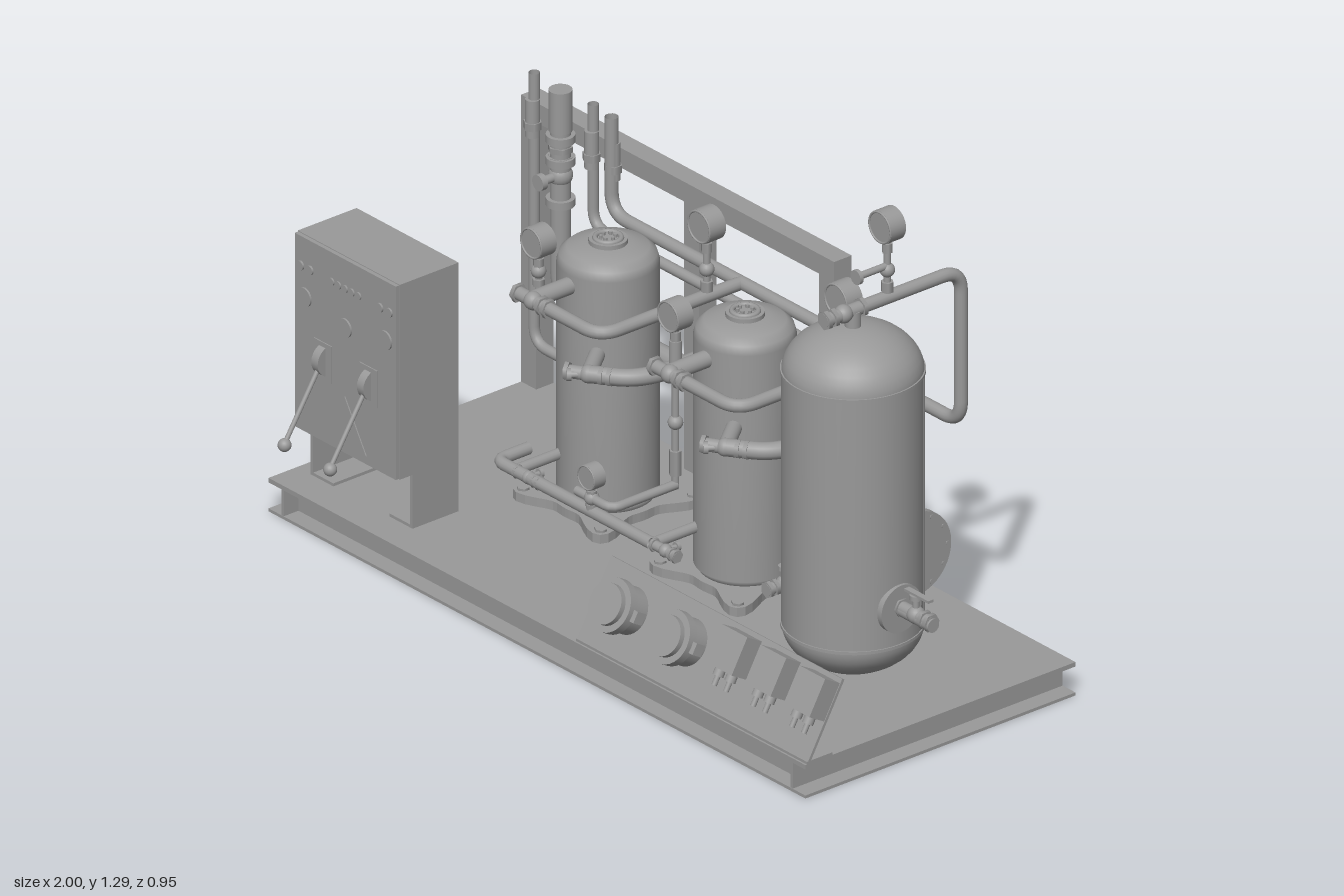
import * as THREE from 'three';

const mat = new THREE.MeshStandardMaterial({ color: 0x999999 });
const openMat = new THREE.MeshStandardMaterial({ color: 0x999999, side: THREE.DoubleSide });
const V = (a) => new THREE.Vector3(...a);

function add(parent, name, geo, pos = [0, 0, 0], m = mat) {
  const mesh = new THREE.Mesh(geo, m);
  mesh.name = name;
  mesh.position.set(...pos);
  parent.add(mesh);
  return mesh;
}
function group(parent, name, pos = [0, 0, 0]) {
  const g = new THREE.Group();
  g.name = name;
  g.position.set(...pos);
  parent.add(g);
  return g;
}
// Box given by its minimum and maximum corners
function block(parent, name, a, b) {
  return add(parent, name, new THREE.BoxGeometry(b[0] - a[0], b[1] - a[1], b[2] - a[2]),
    a.map((v, i) => (v + b[i]) / 2));
}
// Solid round bar between two points
function rod(parent, name, a, b, r, sides = 24) {
  const A = V(a), B = V(b), d = B.clone().sub(A);
  const mesh = add(parent, name, new THREE.CylinderGeometry(r, r, d.length(), sides),
    A.clone().add(B).multiplyScalar(0.5).toArray());
  mesh.quaternion.setFromUnitVectors(new THREE.Vector3(0, 1, 0), d.normalize());
  return mesh;
}
// Pipe through corner points, with rounded bends
function pipe(parent, name, pts, r, bend = 0.05) {
  const p = pts.map(V), path = new THREE.CurvePath();
  let last = p[0];
  for (let i = 1; i < p.length - 1; i++) {
    const toward = (q) => p[i].clone().add(q.clone().sub(p[i])
      .setLength(Math.min(bend, q.distanceTo(p[i]) * 0.49)));
    const s = toward(p[i - 1]), e = toward(p[i + 1]);
    path.add(new THREE.LineCurve3(last, s));
    path.add(new THREE.QuadraticBezierCurve3(s, p[i], e));
    last = e;
  }
  path.add(new THREE.LineCurve3(last, p[p.length - 1]));
  const n = Math.ceil(path.getLength() / 0.012);
  return add(parent, name, new THREE.TubeGeometry(path, n, r, 14), [0, 0, 0], openMat);
}
// Valve centred at p along d, with end collars and a stem with a hand knob
function valve(parent, name, p, d, s, stem) {
  const g = group(parent, name, p), dir = V(d).normalize(), st = V(stem).normalize();
  const at = (v, k) => v.clone().multiplyScalar(k * s).toArray();
  rod(g, 'valveBody', at(dir, -1), at(dir, 1), 0.28 * s);
  add(g, 'valveCore', new THREE.SphereGeometry(0.38 * s, 20, 14));
  for (const k of [-0.9, 0.55, 0.9])
    rod(g, 'valveCollar', at(dir, k - 0.09), at(dir, k + 0.09), 0.4 * s, 6);
  rod(g, 'valveStem', [0, 0, 0], at(st, 0.9), 0.14 * s);
  rod(g, 'valveKnob', at(st, 0.7), at(st, 0.9), 0.26 * s);
}
// Pressure dial facing +z on a vertical stem
function gauge(parent, name, x, y, z, r, depth, bottom) {
  const g = group(parent, name, [x, y, z]);
  rod(g, 'dialCase', [0, 0, -depth / 2], [0, 0, depth / 2], r, 32);
  add(g, 'dialRim', new THREE.TorusGeometry(r * 0.92, r * 0.07, 8, 32), [0, 0, depth / 2]);
  const low = bottom - y;
  rod(g, 'dialStem', [0, low, 0], [0, -r * 0.9, 0], 0.009);
  rod(g, 'dialNut', [0, -r - 0.03, 0], [0, -r - 0.005, 0], 0.014, 6);
  add(g, 'stemValve', new THREE.SphereGeometry(0.019, 16, 12), [0, low * 0.62, 0]);
  rod(g, 'stemNut', [0, low * 0.92, 0], [0, low * 0.78, 0], 0.016, 6);
}
function lathe(parent, name, pts) {
  return add(parent, name, new THREE.LatheGeometry(pts.map((q) => new THREE.Vector2(...q)), 48));
}

function buildBase(root) {
  // Channels open outward: web on the inner edge, flanges above and below
  const g = group(root, 'baseFrame');
  block(g, 'deckPlate', [-1, 0.078, -0.475], [1, 0.09, 0.375]);
  for (const s of [-1, 1]) {
    const z = -0.05 + s * 0.374, fz = -0.05 + s * 0.3975, fx = s * 0.9725;
    block(g, 'longWeb', [-0.95, 0, z - 0.004], [0.945, 0.08, z + 0.004]);
    block(g, 'longFlange', [-1, 0, fz - 0.0275], [1, 0.008, fz + 0.0275]);
    block(g, 'endWeb', [s * 0.948 - 0.004, 0, -0.474], [s * 0.948 + 0.004, 0.08, 0.374]);
    block(g, 'endFlange', [fx - 0.0275, 0, -0.475], [fx + 0.0275, 0.008, 0.375]);
  }
  const f = group(root, 'rearFrame');
  for (const x of [-0.972, -0.365, 0.138])
    block(f, 'post', [x - 0.028, 0.09, -0.475], [x + 0.028, 0.81, -0.42]);
  block(f, 'topBeam', [-1, 0.81, -0.475], [0.166, 0.863, -0.42]);
}

function buildCompressor(root, x) {
  const g = group(root, 'compressor', [x, 0, -0.17]);
  // Four-eared foot plate
  const pts = [];
  for (let i = 0; i < 72; i++) {
    const a = (i / 72) * Math.PI * 2;
    const r = 0.135 + 0.095 * ((1 - Math.cos(4 * a)) / 2) ** 3;
    pts.push(new THREE.Vector2(r * Math.cos(a), r * Math.sin(a)));
  }
  add(g, 'footPlate', new THREE.ExtrudeGeometry(new THREE.Shape(pts), { depth: 0.024, bevelEnabled: false }),
    [0, 0.09, 0]).rotation.x = -Math.PI / 2;
  for (const sx of [-1, 1]) for (const sz of [-1, 1])
    rod(g, 'footBolt', [sx * 0.145, 0.09, sz * 0.145], [sx * 0.145, 0.12, sz * 0.145], 0.016, 6);
  lathe(g, 'shell', [[0, 0.11], [0.11, 0.11], [0.125, 0.13], [0.125, 0.74], [0.119, 0.762],
    [0.1, 0.778], [0.06, 0.788], [0, 0.792]]);
  rod(g, 'topCap', [0, 0.78, 0], [0, 0.8, 0], 0.048);
  add(g, 'topRing', new THREE.TorusGeometry(0.032, 0.007, 8, 28), [0, 0.8, 0]).rotation.x = Math.PI / 2;
  for (let i = 0; i < 6; i++) {
    const a = i * Math.PI / 3, bx = 0.018 * Math.cos(a), bz = 0.018 * Math.sin(a);
    rod(g, 'capBolt', [bx, 0.8, bz], [bx, 0.808, bz], 0.005, 6);
  }
  // Discharge line to the upper header
  rod(g, 'dischargePort', [0, 0.71, 0.1], [0, 0.71, 0.24], 0.022);
  valve(g, 'dischargeValve', [0.005, 0.71, 0.24], [1, 0, 0], 0.062, [0, 0, -1]);
  pipe(g, 'dischargePipe', [[0, 0.71, 0.24], [0.255, 0.71, 0.24], [0.255, 0.71, -0.205]], 0.017, 0.06);
  gauge(g, 'dischargeGauge', 0.257, 0.905, -0.093, 0.044, 0.048, 0.71);
  // Suction line to the lower header
  rod(g, 'suctionPort', [0.06, 0.545, 0.08], [0.14, 0.545, 0.18], 0.02);
  valve(g, 'suctionValve', [0.14, 0.545, 0.18], [0.8, 0, -0.5], 0.06, [-0.6, 0, 0.8]);
  pipe(g, 'suctionPipe', [[0.14, 0.545, 0.18], [0.25, 0.545, 0.1], [0.25, 0.545, -0.16], [0.25, 0.4, -0.205]],
    0.022, 0.1);
  // Oil drain
  pipe(g, 'oilPipe', [[-0.05, 0.235, 0.1], [-0.05, 0.235, 0.25]], 0.014);
  valve(g, 'oilValve', [0, 0.235, 0.25], [1, 0, 0], 0.045, [0, 0, -1]);
}

function buildReceiver(root) {
  const g = group(root, 'receiverTank', [0.68, 0, -0.045]);
  const prof = [];
  for (let i = 0; i <= 10; i++) {
    const a = (i / 10) * Math.PI / 2;
    prof.push([0.173 * Math.sin(a), 0.22 - 0.118 * Math.cos(a)]);
  }
  for (let i = 10; i >= 0; i--) {
    const a = (i / 10) * Math.PI / 2;
    prof.push([0.173 * Math.sin(a), 0.895 + 0.12 * Math.cos(a)]);
  }
  lathe(g, 'vessel', prof);
  for (const y of [0.218, 0.897]) rod(g, 'weldBand', [0, y - 0.004, 0], [0, y + 0.004, 0], 0.176, 48);
  rod(g, 'verticalSeam', [0.134, 0.22, -0.109], [0.134, 0.895, -0.109], 0.003, 6);
  rod(g, 'supportFoot', [0, 0.085, 0], [0, 0.12, 0], 0.03);
  // Side outlet
  rod(g, 'outletPad', [0.165, 0.32, 0], [0.181, 0.32, 0], 0.063, 32);
  rod(g, 'outletNozzle', [0.17, 0.32, 0], [0.3, 0.32, 0], 0.018);
  valve(g, 'outletValve', [0.235, 0.325, 0], [1, 0, 0], 0.06, [0, 1, 0]);
  block(g, 'outletHandle', [0.2, 0.378, -0.008], [0.29, 0.385, 0.008]);
  // Top connection
  rod(g, 'topNozzle', [0, 1.0, 0], [0, 1.055, 0], 0.02);
  valve(g, 'topValve', [0, 1.055, 0.03], [0, 0, 1], 0.062, [0, 0, 1]);
  pipe(g, 'topPipe', [[0, 1.055, 0], [0, 1.055, -0.34], [0, 0.64, -0.34], [-0.2, 0.64, -0.34]], 0.017, 0.06);
  gauge(g, 'topGauge', 0, 1.25, -0.108, 0.043, 0.046, 1.055);
  rod(g, 'bleedValve', [0, 1.14, -0.11], [0, 1.14, -0.02], 0.009);
  rod(g, 'bleedKnob', [0, 1.14, -0.018], [0, 1.14, -0.008], 0.019);
}

function buildPiping(root) {
  const g = group(root, 'piping'), z = -0.375;
  pipe(g, 'suctionHeader', [[0.45, 0.4, z], [-0.8, 0.4, z], [-0.8, 0.97, z]], 0.026, 0.09);
  rod(g, 'headerCap', [0.445, 0.4, z], [0.457, 0.4, z], 0.026);
  for (const y of [0.66, 0.77, 0.83]) rod(g, 'riserCollar', [-0.8, y, z], [-0.8, y + 0.02, z], 0.036);
  valve(g, 'riserValve', [-0.8, 0.74, z], [0, 1, 0], 0.08, [0, 0, 1]);
  rod(g, 'riserSleeve', [-0.8, 0.86, z], [-0.8, 0.97, z], 0.029);
  pipe(g, 'liquidHeader', [[0.5, 0.64, -0.385], [-0.69, 0.64, -0.385], [-0.69, 0.97, -0.385]], 0.014);
  pipe(g, 'dischargeHeader', [[0.385, 0.71, -0.3], [0.385, 0.71, z], [-0.61, 0.71, z], [-0.61, 0.97, z]], 0.017, 0.06);
  pipe(g, 'returnPipe', [[-0.91, 0.97, -0.385], [-0.91, 0.24, -0.385], [-0.52, 0.24, -0.385], [-0.52, 0.235, -0.2]], 0.014);
  for (const x of [-0.91, -0.69, -0.61]) {
    rod(g, 'pipeSleeve', [x, 0.8, -0.38], [x, 0.9, -0.38], 0.018);
    rod(g, 'pipeNut', [x, 0.82, -0.38], [x, 0.84, -0.38], 0.023, 6);
  }
  // Low oil line along the front of the compressors
  pipe(g, 'oilLine', [[-0.5, 0.235, -0.02], [-0.5, 0.235, 0.08], [0.08, 0.235, 0.08]], 0.016, 0.03);
  pipe(g, 'oilReturn', [[-0.2, 0.27, 0.08], [-0.07, 0.27, 0.08], [-0.07, 0.27, -0.12]], 0.012, 0.03);
  gauge(g, 'oilLineGauge', -0.145, 0.33, 0.08, 0.033, 0.035, 0.235);
  gauge(g, 'sideGauge', -0.58, 0.73, -0.12, 0.041, 0.046, 0.6);
  gauge(g, 'oilGauge', -0.07, 0.73, -0.12, 0.041, 0.046, 0.26);
  rod(g, 'oilGaugeFitting', [-0.07, 0.575, -0.12], [-0.07, 0.66, -0.12], 0.016);
  // Outlet valve of the horizontal vessel
  pipe(g, 'vesselOutlet', [[0.44, 0.23, -0.27], [0.44, 0.23, 0.02]], 0.014);
  valve(g, 'vesselValve', [0.44, 0.23, -0.03], [0, 0, 1], 0.055, [0, 1, 0]);
  // Horizontal vessel behind the tank
  const h = group(root, 'horizontalVessel', [0, 0.27, -0.32]);
  rod(h, 'vesselShell', [0.27, 0, 0], [0.57, 0, 0], 0.086, 40);
  const dome = add(h, 'vesselDome', new THREE.SphereGeometry(0.086, 32, 12), [0.27, 0, 0]);
  dome.scale.x = 0.35;
  rod(h, 'vesselFlange', [0.565, 0, 0], [0.588, 0, 0], 0.112, 40);
  for (let i = 0; i < 12; i++) {
    const a = i * Math.PI / 6, y = 0.1 * Math.cos(a), w = 0.1 * Math.sin(a);
    rod(h, 'flangeBolt', [0.558, y, w], [0.59, y, w], 0.006, 6);
  }
}

function buildCabinet(root) {
  const g = group(root, 'controlCabinet');
  block(g, 'cabinetBox', [-0.95, 0.235, 0.14], [-0.57, 0.76, 0.325]);
  block(g, 'cabinetDoor', [-0.948, 0.237, 0.325], [-0.572, 0.758, 0.336]);
  for (const s of [-1, 1]) {
    const x = -0.76 + s * 0.185, inner = x - s * 0.08;
    block(g, 'legPlate', [x - 0.005, 0.09, 0.14], [x + 0.005, 0.235, 0.285]);
    block(g, 'legFoot', [Math.min(x, inner), 0.09, 0.14], [Math.max(x, inner), 0.098, 0.285]);
    const lx = -0.757 + s * 0.085;
    block(g, 'leverPlate', [lx - 0.033, 0.405, 0.335], [lx + 0.033, 0.505, 0.339]);
    rod(g, 'leverHub', [lx - 0.012, 0.455, 0.322], [lx + 0.012, 0.455, 0.322], 0.042);
    rod(g, 'leverArm', [lx, 0.44, 0.35], [lx, 0.27, 0.458], 0.006);
    add(g, 'leverBall', new THREE.SphereGeometry(0.017, 20, 14), [lx, 0.267, 0.458]);
    rod(g, 'lamp', [-0.76 + s * 0.15, 0.6, 0.33], [-0.76 + s * 0.15, 0.6, 0.341], 0.025);
    for (const k of [0.13, 0.165])
      rod(g, 'button', [-0.76 + s * k, 0.68, 0.33], [-0.76 + s * k, 0.68, 0.341], 0.012);
  }
  rod(g, 'mainSwitch', [-0.76, 0.575, 0.33], [-0.76, 0.575, 0.341], 0.025);
  for (let i = 0; i < 5; i++)
    rod(g, 'indicator', [-0.81 + i * 0.025, 0.68, 0.33], [-0.81 + i * 0.025, 0.68, 0.34], 0.01);
  const tri = new THREE.Shape([[-0.08, 0], [0.08, 0], [0, 0.13]].map((q) => new THREE.Vector2(...q)));
  add(g, 'warningPlate', new THREE.ExtrudeGeometry(tri, { depth: 0.003, bevelEnabled: false }), [-0.76, 0.26, 0.336]);
}

function buildConsole(root) {
  block(root, 'consoleFoot', [0.14, 0.09, 0.29], [1, 0.097, 0.37]);
  const g = group(root, 'instrumentConsole', [0, 0.095, 0.365]);
  g.rotation.x = -0.52; // leaning back; local y runs up the sloped plate
  block(g, 'slopedPlate', [0.14, 0, -0.006], [1, 0.217, 0.002]);
  for (const x of [0.265, 0.485]) {
    rod(g, 'pressureSwitchBody', [x, 0.12, 0], [x, 0.12, 0.075], 0.06, 32);
    rod(g, 'pressureSwitchRim', [x, 0.12, 0.05], [x, 0.12, 0.075], 0.069, 32);
    rod(g, 'pressureSwitchFace', [x, 0.12, 0.07], [x, 0.12, 0.09], 0.052, 32);
    for (const s of [-1, 1])
      block(g, 'pressureSwitchEar', [x + s * 0.07 - 0.012, 0.105, 0.03], [x + s * 0.07 + 0.012, 0.135, 0.06]);
  }
  for (const x of [0.66, 0.805, 0.95]) {
    block(g, 'switchBox', [x - 0.048, 0.105, 0], [x + 0.048, 0.205, 0.055]);
    for (const dx of [-0.022, 0.022]) {
      rod(g, 'switchGland', [x + dx, 0.085, 0.025], [x + dx, 0.105, 0.025], 0.014);
      rod(g, 'switchCable', [x + dx, 0.06, 0.025], [x + dx, 0.085, 0.025], 0.007);
    }
  }
}

export function createModel() {
  const root = new THREE.Group();
  root.name = 'refrigerationSkid';
  buildBase(root);
  for (const x of [-0.38, 0.13]) buildCompressor(root, x);
  buildReceiver(root);
  buildPiping(root);
  buildCabinet(root);
  buildConsole(root);
  return root;
}
